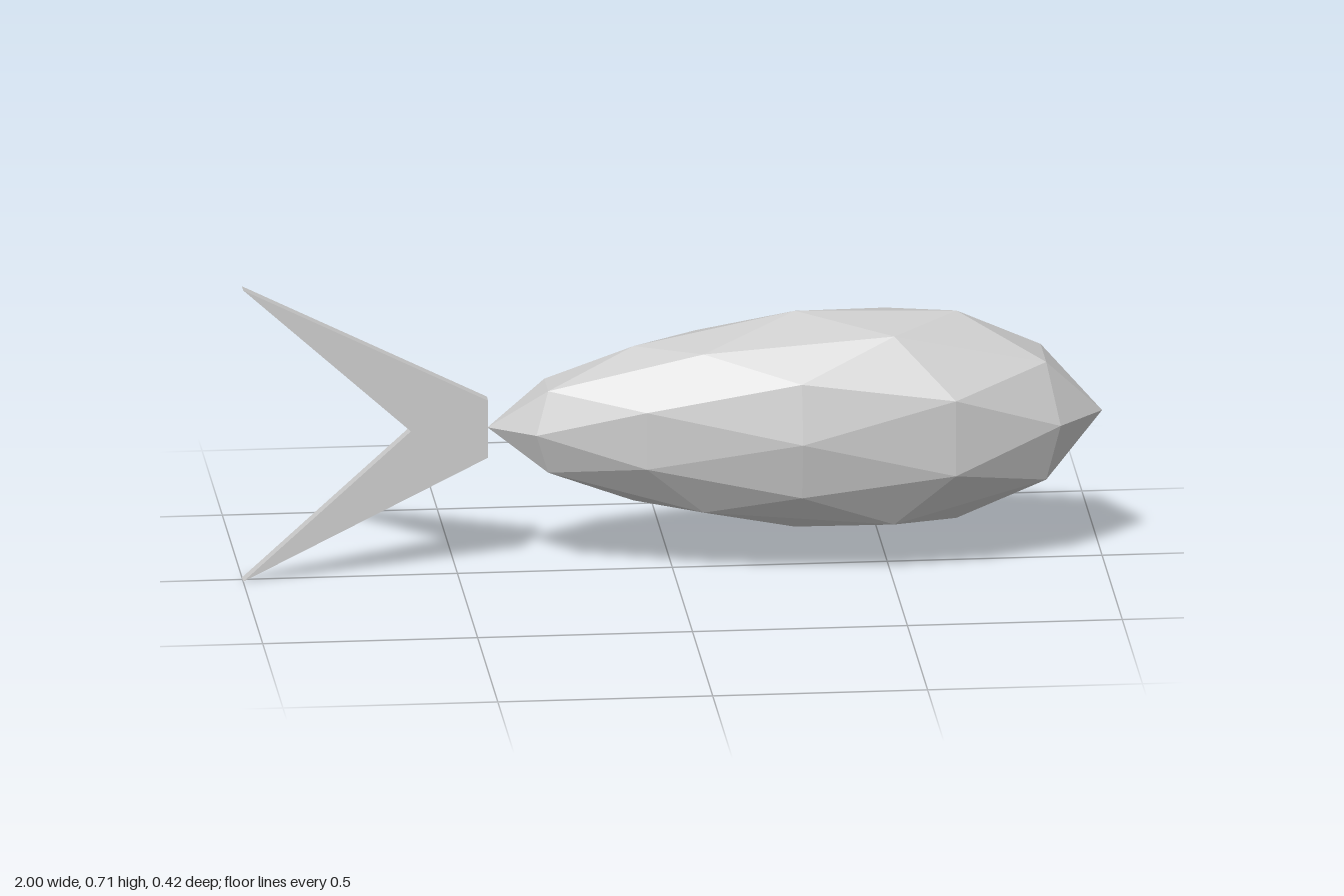
import * as THREE from 'three';

const CENTER_Y = 0.3535;

// Girth of the body along its length: [position from tail (-1) to nose (1), factor]
const GIRTH = [[-1, 0.65], [-0.851, 0.70], [-0.809, 0.755], [-0.526, 0.84], [0, 1],
  [0.526, 1.13], [0.809, 1.09], [0.851, 1.03], [1, 0.9]];

function girthAt(x) {
  for (let i = 1; i < GIRTH.length; i++) {
    const [x0, g0] = GIRTH[i - 1];
    const [x1, g1] = GIRTH[i];
    if (x <= x1) return THREE.MathUtils.mapLinear(x, x0, x1, g0, g1);
  }
  return GIRTH[GIRTH.length - 1][1];
}

export function createModel() {
  const group = new THREE.Group();
  group.name = 'fish';
  const material = new THREE.MeshStandardMaterial({ color: 0xcccccc, flatShading: true });

  // Body: faceted ball, stretched and tapered towards the tail
  const bodyGeometry = new THREE.IcosahedronGeometry(1, 1);
  const pos = bodyGeometry.attributes.position;
  for (let i = 0; i < pos.count; i++) {
    const x = pos.getX(i);
    const g = girthAt(x);
    pos.setXYZ(i, x * 0.715, pos.getY(i) * g * 0.262, pos.getZ(i) * g * 0.21);
  }
  bodyGeometry.computeVertexNormals();
  const body = new THREE.Mesh(bodyGeometry, material);
  body.name = 'body';
  body.position.set(0.285, CENTER_Y - 0.001, 0);
  group.add(body);

  // Tail fin: thin forked plate
  const fork = new THREE.Shape([
    [-0.43, -0.069], [-0.43, 0.069], [-1, CENTER_Y], [-0.61, 0], [-1, -CENTER_Y],
  ].map(([x, y]) => new THREE.Vector2(x, y)));
  const depth = 0.033;
  const finGeometry = new THREE.ExtrudeGeometry(fork, { depth, bevelEnabled: false });
  finGeometry.translate(0, 0, -depth / 2);
  const tailFin = new THREE.Mesh(finGeometry, material);
  tailFin.name = 'tailFin';
  tailFin.position.set(0, CENTER_Y, 0.0015);
  group.add(tailFin);

  return group;
}
